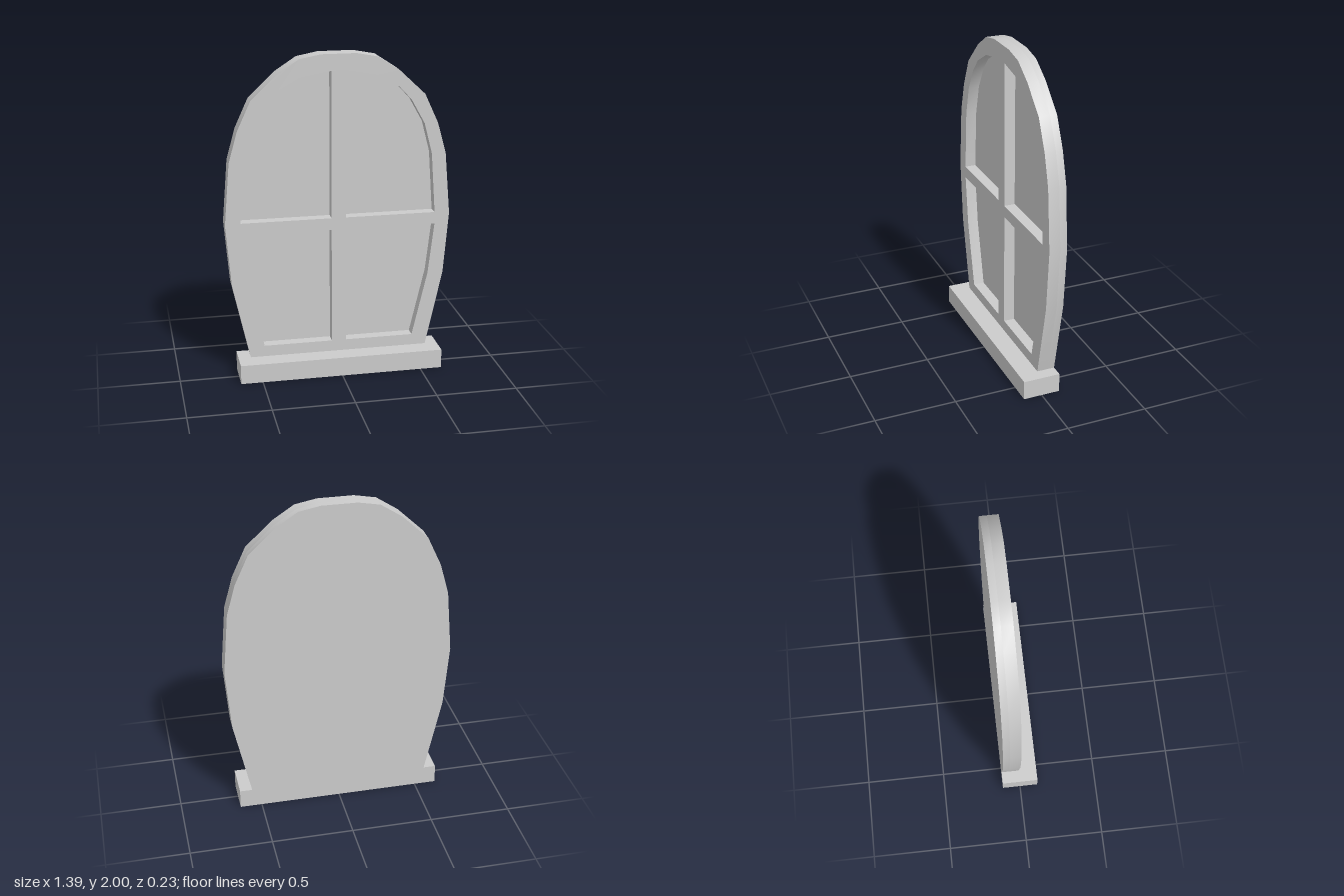
import * as THREE from 'three';
import { toCreasedNormals } from 'three/addons/utils/BufferGeometryUtils.js';

const BACK = -0.115, PANE = -0.073, FRONT = -0.005, SILL_TOP = 0.12;

// Right half of the arched outline, bottom to top
const HALF_OUTLINE = [
  [0.558, SILL_TOP], [0.663, 0.6], [0.695, 0.985], [0.663, 1.37], [0.61, 1.56],
  [0.527, 1.74], [0.368, 1.89], [0.238, 1.975], [0.107, 2],
];
// Right-hand openings; the left ones are mirrored
const UPPER_PANE = [
  [0.045, 0.995], [0.602, 0.995], [0.576, 1.37], [0.527, 1.56], [0.445, 1.707],
  [0.368, 1.79], [0.234, 1.865], [0.045, 1.9],
];
const LOWER_PANE = [[0.045, 0.19], [0.47, 0.19], [0.566, 0.6], [0.603, 0.92], [0.045, 0.92]];

const toPoints = (list) => list.map(([x, y]) => new THREE.Vector2(x, y));
const mirror = (list) => list.map(([x, y]) => [-x, y]).reverse();

export function createModel() {
  const group = new THREE.Group();
  group.name = 'archedWindow';
  const material = new THREE.MeshStandardMaterial({ color: 0xcccccc });

  function add(name, geometry) {
    const mesh = new THREE.Mesh(geometry, material);
    mesh.name = name;
    group.add(mesh);
    return mesh;
  }

  // Extrude a shape between two depths, smoothing the gentle bends of the rim
  function slab(shape, z0, z1) {
    const geometry = new THREE.ExtrudeGeometry(shape, { depth: z1 - z0, bevelEnabled: false });
    return toCreasedNormals(geometry.translate(0, 0, z0), 0.6);
  }

  const outline = toPoints([...HALF_OUTLINE, ...mirror(HALF_OUTLINE)]);

  // Solid panel behind the openings
  add('backPanel', slab(new THREE.Shape(outline), BACK, PANE));

  // Arched frame and cross bars, left around four openings
  const frame = new THREE.Shape(outline);
  for (const pane of [UPPER_PANE, LOWER_PANE]) {
    frame.holes.push(new THREE.Path(toPoints(pane)), new THREE.Path(toPoints(mirror(pane))));
  }
  add('frame', slab(frame, PANE, FRONT));

  // Sill, flush with the back and projecting at the front
  const sill = add('sill', new THREE.BoxGeometry(1.27, SILL_TOP, 0.23));
  sill.position.y = SILL_TOP / 2;

  return group;
}
